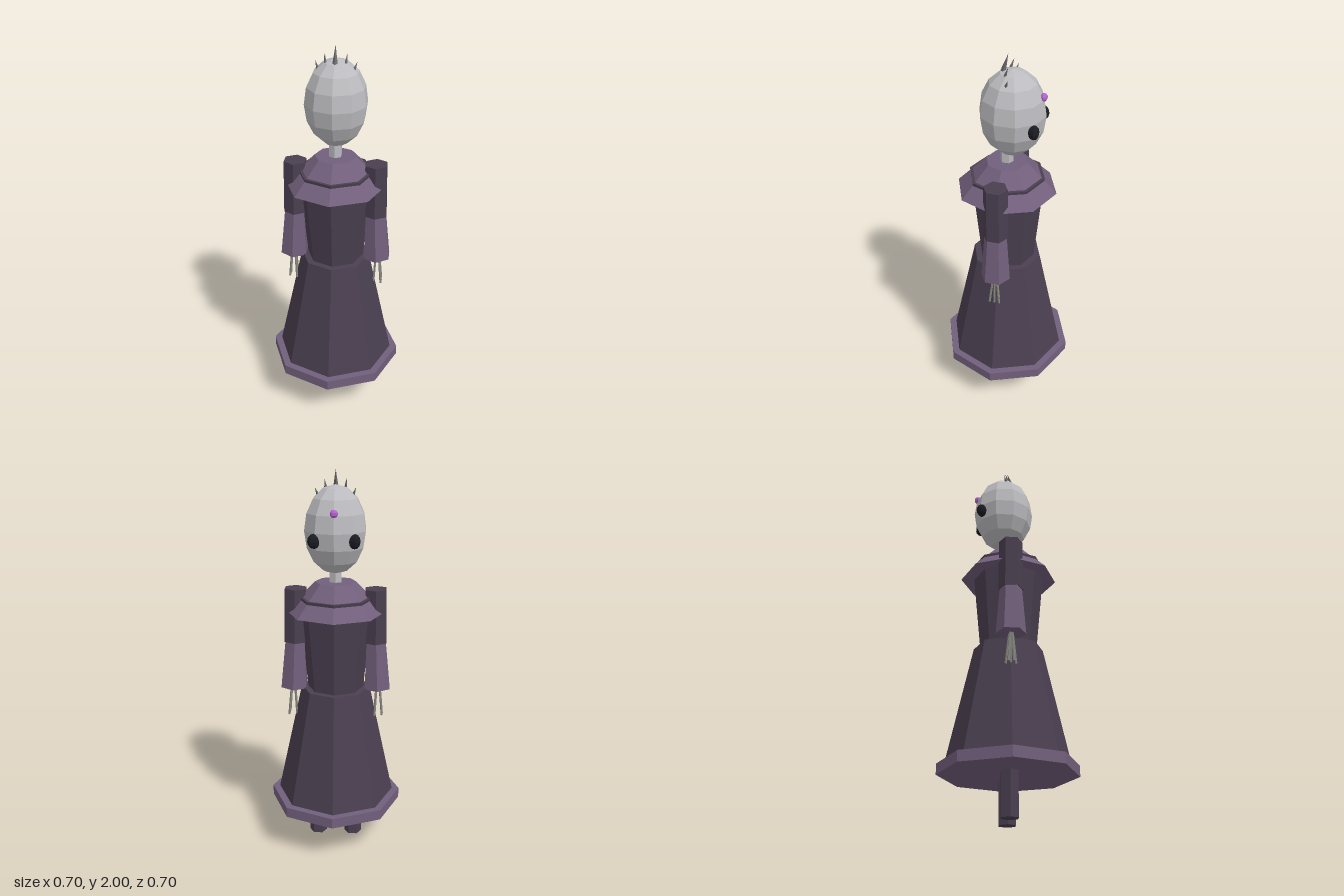
import * as THREE from 'three';

const mat = (name, color) => {
  const m = new THREE.MeshStandardMaterial({ color, flatShading: true });
  m.name = name;
  return m;
};

export function createModel() {
  const model = new THREE.Group();
  model.name = 'robedFigure';
  const cloth = mat('dark cloth', 0x4a3f50);
  const trim = mat('purple trim', 0x725f7c);
  const skin = mat('pale grey', 0xbcbcc0);
  const bone = mat('bone grey', 0x85857f);
  const spikeMat = mat('spike grey', 0x6c6c6c);
  const black = mat('eye black', 0x1b1b23);
  const gemMat = mat('gem violet', 0xb565cf);

  const add = (name, geometry, material, parent = model) => {
    const mesh = new THREE.Mesh(geometry, material);
    mesh.name = name;
    parent.add(mesh);
    return mesh;
  };

  // Tapered prism running between two points
  const rod = (name, from, to, rFrom, rTo, sides, material, parent = model) => {
    const a = new THREE.Vector3(...from), b = new THREE.Vector3(...to);
    const dir = b.clone().sub(a);
    const mesh = add(name, new THREE.CylinderGeometry(rTo, rFrom, dir.length(), sides), material, parent);
    mesh.position.copy(a).add(b).multiplyScalar(0.5);
    mesh.quaternion.setFromUnitVectors(new THREE.Vector3(0, 1, 0), dir.normalize());
    return mesh;
  };

  // Robe: eight-sided stacked sections; the chest rim breaks through the collar
  const section = (name, y0, y1, r0, r1, material, sides = 8) =>
    rod(name, [0, y0, 0], [0, y1, 0], r0, r1, sides, material);
  section('hem', 0.22, 0.275, 0.35, 0.35, trim);
  section('skirt', 0.27, 0.88, 0.313, 0.18, cloth);
  section('torso', 0.87, 1.37, 0.145, 0.193, cloth);
  section('collar', 1.29, 1.445, 0.255, 0.105, trim);
  section('neck', 1.43, 1.53, 0.034, 0.034, skin, 6);

  // Head
  const head = add('head', new THREE.SphereGeometry(1, 10, 8).rotateY(Math.PI / 2), skin);
  head.scale.set(0.158, 0.218, 0.163);
  head.position.set(0, 1.712, -0.028);

  // Gem on the brow of the face, which looks backward
  const gem = add('browGem', new THREE.SphereGeometry(0.02, 6, 5), gemMat);
  gem.position.set(0, 1.808, -0.174);

  // Central crest spike
  rod('crestSpike', [0, 1.9, 0.022], [0, 2, -0.006], 0.015, 0, 4, spikeMat);

  // Paired parts
  for (const [side, s] of [['left', 1], ['right', -1]]) {
    const eye = add(side + 'Eye', new THREE.SphereGeometry(1, 7, 6), black);
    eye.scale.set(0.034, 0.037, 0.028);
    eye.position.set(s * 0.097, 1.675, -0.152);
    eye.rotation.y = s * 0.6;

    rod(side + 'InnerSpike', [s * 0.045, 1.882, 0.006], [s * 0.054, 1.958, -0.02], 0.012, 0, 4, spikeMat);
    rod(side + 'OuterSpike', [s * 0.08, 1.862, -0.012], [s * 0.1, 1.916, -0.03], 0.011, 0, 4, spikeMat);

    const arm = new THREE.Group();
    arm.name = side + 'Arm';
    model.add(arm);
    rod('upperArm', [s * 0.205, 1.41, 0], [s * 0.208, 1.128, 0], 0.061, 0.064, 6, cloth, arm);
    rod('sleeve', [s * 0.21, 1.135, 0], [s * 0.22, 0.876, 0], 0.057, 0.076, 6, trim, arm);

    // Bony fingers fanning out below the cuff
    for (let i = 0; i < 5; i++) {
      const t = (i - 2) / 2;
      const x = (i % 2 ? -1 : 1) * 0.02;
      rod('finger', [s * 0.225 + x * 0.4, 0.885, t * 0.008], [s * 0.228 + x, 0.72, t * 0.026],
        0.006, 0.006, 5, bone, arm);
    }

    const leg = rod(side + 'Leg', [s * 0.097, 0, 0], [s * 0.097, 0.25, 0], 0.047, 0.047, 6, cloth);
    leg.rotation.y = Math.PI / 6;
  }
  return model;
}
